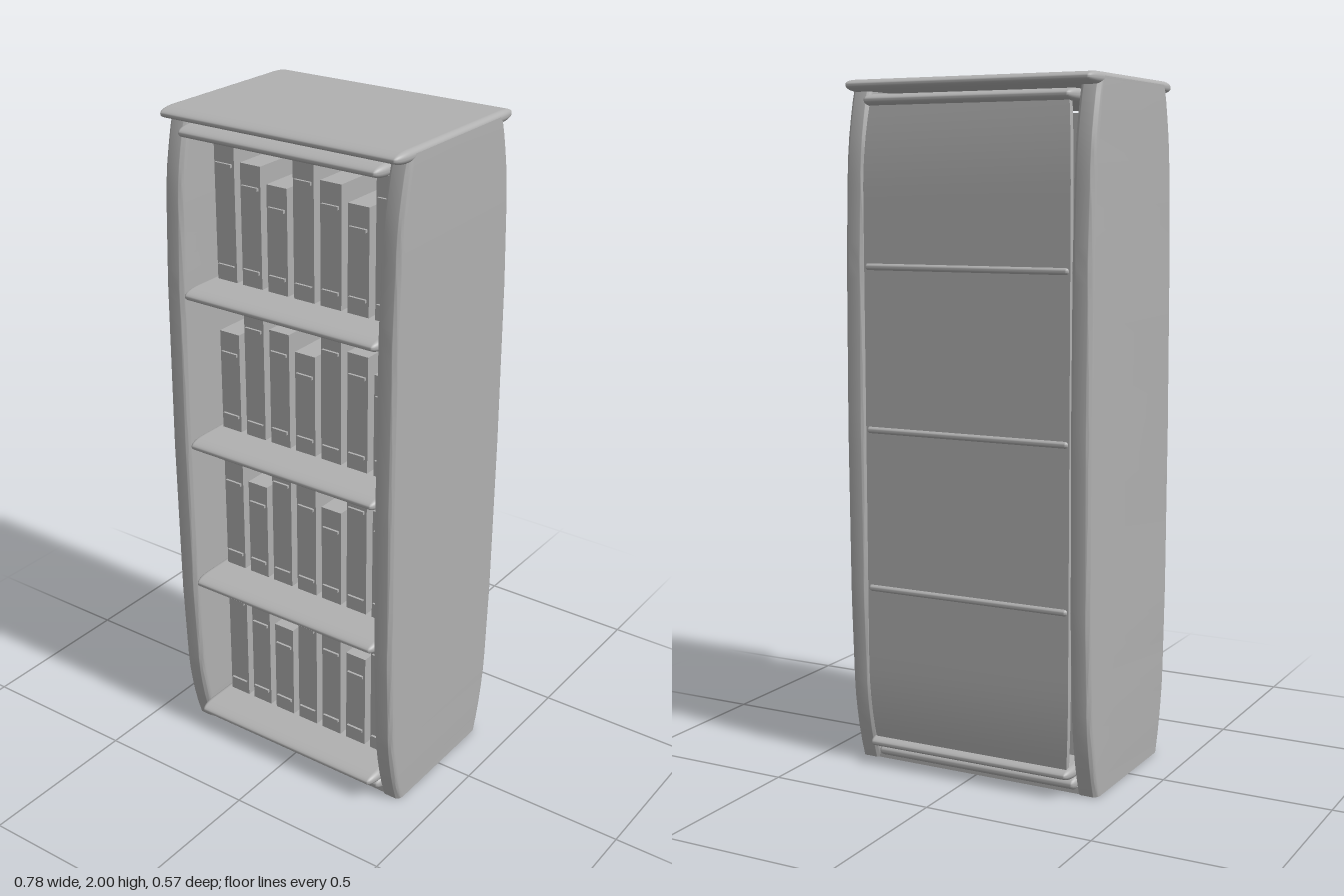
import * as THREE from 'three';
import { toCreasedNormals } from 'three/addons/utils/BufferGeometryUtils.js';
import { RoundedBoxGeometry } from 'three/addons/geometries/RoundedBoxGeometry.js';

const grey = new THREE.MeshStandardMaterial({ color: 0xb0b0b0 });
grey.name = 'plain grey';

// Half depth of the side panels against distance from mid height
const PROFILE = [[0, 0.285], [0.5, 0.28], [0.75, 0.269], [0.82, 0.263], [0.92, 0.244], [0.97, 0.23], [1, 0.22]];
function halfDepth(y) {
  const t = Math.min(1, Math.abs(y - 1));
  const i = Math.max(1, PROFILE.findIndex(([u]) => t <= u));
  const [t0, d0] = PROFILE[i - 1], [t1, d1] = PROFILE[i];
  return d0 + (d1 - d0) * (t - t0) / (t1 - t0);
}

// Rectangle with elliptical corners, rx by ry
function roundedRect(w, h, rx, ry) {
  const s = new THREE.Shape();
  const a = w / 2 - rx, b = h / 2 - ry;
  s.absellipse(a, b, rx, ry, 0, Math.PI / 2);
  s.absellipse(-a, b, rx, ry, Math.PI / 2, Math.PI);
  s.absellipse(-a, -b, rx, ry, Math.PI, Math.PI * 1.5);
  s.absellipse(a, -b, rx, ry, Math.PI * 1.5, Math.PI * 2);
  return s;
}

// Upright board whose front and back edges follow the bulging profile
function sidePanelGeometry(width, y0, y1) {
  const g = new THREE.ExtrudeGeometry(roundedRect(width, 0.4, 0.016, 0.022), {
    depth: y1 - y0, steps: 40, curveSegments: 6, bevelEnabled: false,
  });
  g.rotateX(-Math.PI / 2);
  g.translate(0, y0, 0);
  const p = g.attributes.position;
  for (let i = 0; i < p.count; i++) {
    const z = p.getZ(i);
    p.setZ(i, z + Math.sign(z) * (halfDepth(p.getY(i)) - 0.2));
  }
  return toCreasedNormals(g, 0.7);
}

// Thin back sheet, curving forward and narrowing towards both ends
function backPanelGeometry() {
  const g = new THREE.BoxGeometry(0.65, 1.88, 0.018, 1, 40, 1);
  const p = g.attributes.position;
  for (let i = 0; i < p.count; i++) {
    const bend = Math.max(0, (Math.abs(p.getY(i)) - 0.68) / 0.26) ** 2;
    p.setX(i, p.getX(i) * (1 - 0.045 * bend));
    p.setZ(i, p.getZ(i) - 0.268 + 0.02 * bend);
  }
  return toCreasedNormals(g, 0.7);
}

// Board with long soft noses at front and back and short ones at the ends
function slabGeometry(width, thickness, depth) {
  const rx = 0.018, ry = thickness / 2 - 0.001, rz = 0.058;
  return new RoundedBoxGeometry(width / rx, thickness / ry, depth / rz, 4, 1).scale(rx, ry, rz);
}

export function createModel() {
  const model = new THREE.Group();
  model.name = 'bookcase';
  const add = (name, geometry, x, y, z, parent = model) => {
    const m = new THREE.Mesh(geometry, grey);
    m.name = name;
    m.position.set(x, y, z);
    parent.add(m);
  };

  // Side panels and back
  const side = sidePanelGeometry(0.064, 0, 1.988);
  add('leftSidePanel', side, 0.358, 0, 0);
  add('rightSidePanel', side, -0.358, 0, 0);
  add('backPanel', backPanelGeometry(), 0, 1, 0);

  // Top and bottom boards
  add('topBoard', slabGeometry(0.78, 0.034, 0.566), 0, 1.983, 0);
  add('upperRail', slabGeometry(0.66, 0.036, 0.566), 0, 1.94, 0);
  add('floorBoard', slabGeometry(0.66, 0.036, 0.566), 0, 0.068, 0);
  add('plinth', slabGeometry(0.66, 0.046, 0.47), 0, 0.028, 0);
  add('base', new THREE.BoxGeometry(0.74, 0.02, 0.43), 0, 0.01, 0);

  // Shelves
  const shelf = slabGeometry(0.66, 0.036, 0.57);
  [0.538, 1.005, 1.474].forEach((y) => add('shelf', shelf, 0, y, 0));

  // Rows of books: floor height, then the repeating three heights
  const rows = [
    [0.085, [0.405, 0.355, 0.31]],
    [0.555, [0.355, 0.31, 0.405]],
    [1.022, [0.31, 0.405, 0.355]],
    [1.491, [0.405, 0.355, 0.31]],
  ];
  const band = new THREE.BoxGeometry(0.055, 0.009, 0.009);
  const thinBand = new THREE.BoxGeometry(0.055, 0.003, 0.009);
  rows.forEach(([floor, heights]) => {
    const row = new THREE.Group();
    row.name = 'bookRow';
    model.add(row);
    for (let i = 0; i < 7; i++) {
      const h = heights[i % 3], x = (i - 3) * 0.09;
      add('book', new THREE.BoxGeometry(0.069, h, 0.3), x, floor + h / 2, 0, row);
      // Raised bands on the spine
      add('spineBand', band, x, floor + h - 0.065, 0.153, row);
      add('spineBand', h === 0.405 ? thinBand : band, x, floor + 0.048, 0.153, row);
    }
  });
  return model;
}
